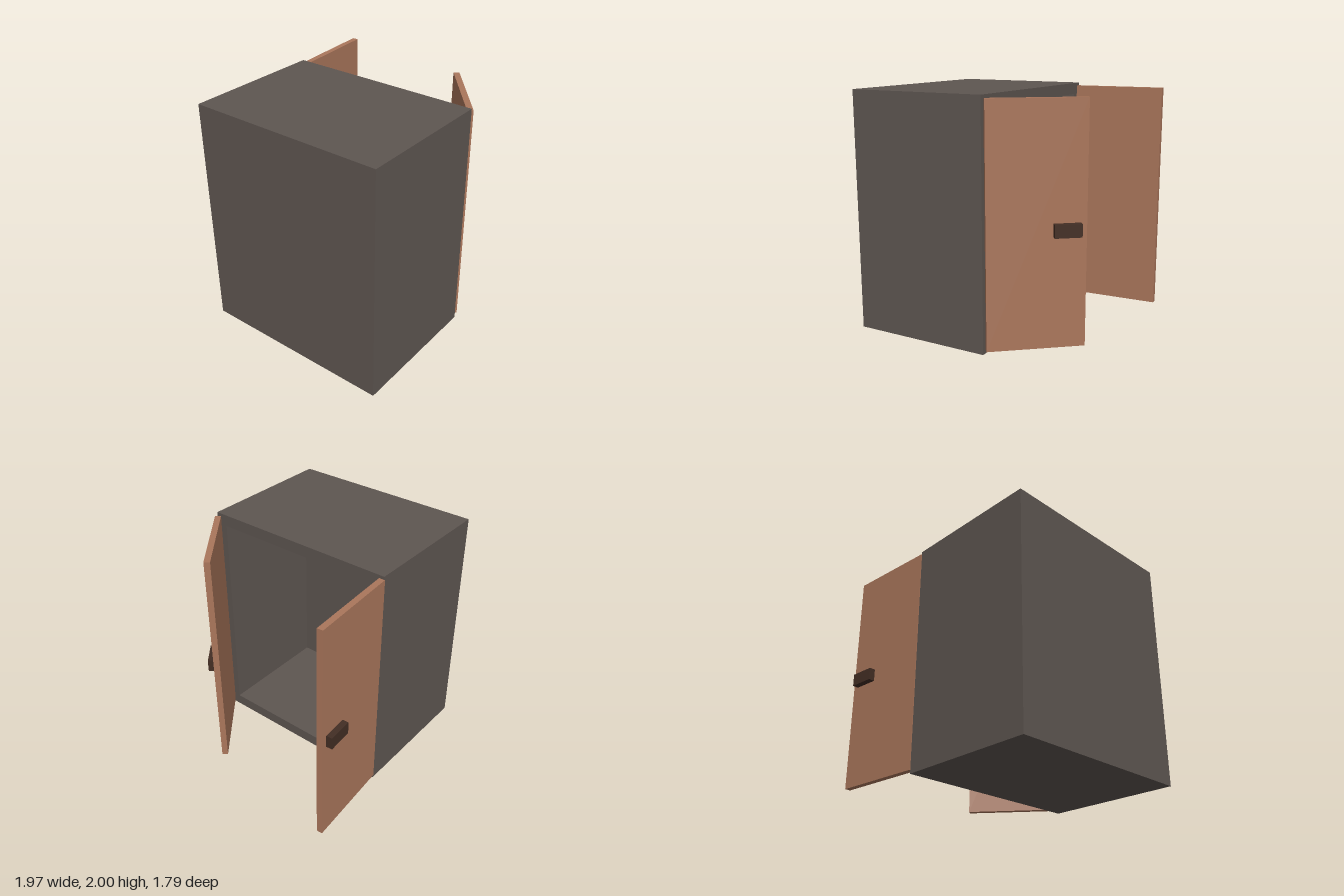
import * as THREE from 'three';

const mat = (name, color) => {
  const m = new THREE.MeshStandardMaterial({ color });
  m.name = name;
  return m;
};

export function createModel() {
  const grey = mat('cabinetGrey', 0x5e5651);
  const brown = mat('doorBrown', 0xaa765b);
  const dark = mat('handleDark', 0x432e24);

  const model = new THREE.Group();
  model.name = 'openCabinet';

  const add = (parent, name, geometry, material, x = 0, y = 0, z = 0) => {
    const mesh = new THREE.Mesh(geometry, material);
    mesh.name = name;
    mesh.position.set(x, y, z);
    parent.add(mesh);
  };

  // Cabinet limits; it opens towards +x
  const back = -0.985, inner = -0.81, open = 0.21;
  const zMin = -0.785, zMax = 0.895, height = 2, wall = 0.097;

  // Rectangle traced in the z-y plane, inset from the cabinet outline
  const outline = (PathType, inset) => {
    const a = -zMax + inset, b = -zMin - inset, lo = inset, hi = height - inset;
    return new PathType([[a, lo], [b, lo], [b, hi], [a, hi]].map(p => new THREE.Vector2(...p)));
  };

  // Top, bottom and side walls as one hollow sleeve
  const frame = outline(THREE.Shape, 0);
  frame.holes.push(outline(THREE.Path, wall));
  const sleeve = new THREE.ExtrudeGeometry(frame, { depth: open - inner, bevelEnabled: false });
  sleeve.rotateY(Math.PI / 2);
  add(model, 'cabinetWalls', sleeve, grey, inner);

  // Closed end of the cabinet
  add(model, 'cabinetBack', new THREE.BoxGeometry(inner - back, height, zMax - zMin), grey,
    (back + inner) / 2, height / 2, (zMin + zMax) / 2);

  // Hinged door with a handle; side is the local z direction of its outer face
  const addDoor = (name, x, z, degrees, side) => {
    const door = new THREE.Group();
    door.name = name;
    door.position.set(x, 0, z);
    door.rotation.y = THREE.MathUtils.degToRad(degrees);
    const length = 0.78, thick = 0.05;
    add(door, name + 'Panel', new THREE.BoxGeometry(length, 1.945, thick), brown,
      length / 2, 1.0025, -side * thick / 2);
    add(door, name + 'Handle', new THREE.BoxGeometry(0.215, 0.105, 0.052), dark,
      0.625, 0.978, side * 0.026);
    model.add(door);
  };
  addDoor('frontDoor', 0.241, 0.895, 39.2, 1);
  addDoor('rearDoor', 0.207, -0.791, 4.2, -1);

  return model;
}
